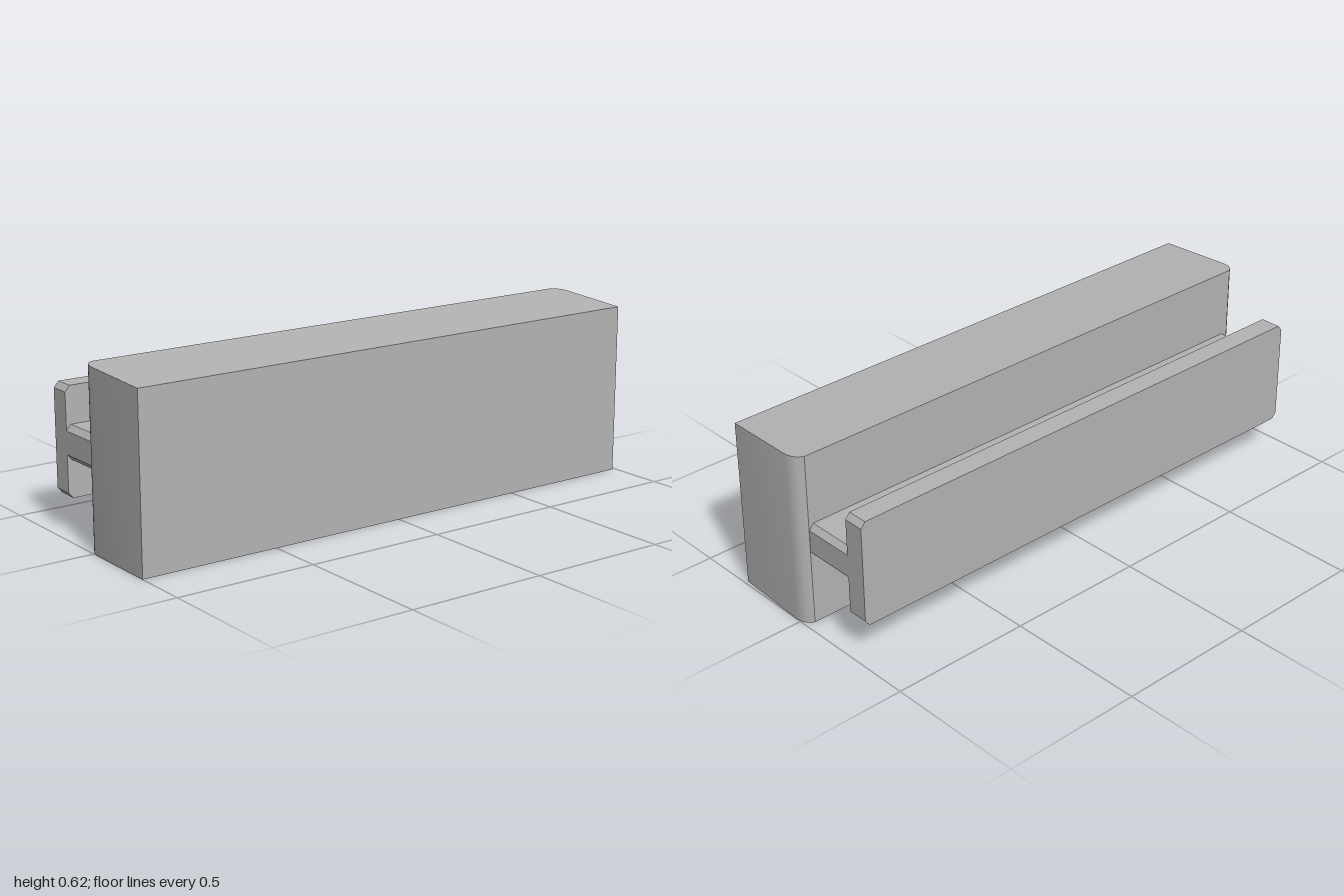
import * as THREE from 'three';
import { toCreasedNormals } from 'three/addons/utils/BufferGeometryUtils.js';

const grey = new THREE.MeshStandardMaterial({ color: 0xb4b4b4 });
grey.name = 'grey';

const shapeOf = (points) => new THREE.Shape(points.map(([a, b]) => new THREE.Vector2(a, b)));

// Long bar spanning x0..x1, with the top and bottom edges of both ends chamfered
function chamferedBar(name, x0, x1, y0, y1) {
  const zb = -0.967, zf = 0.96, cy = 0.02, cz = 0.017;
  // The shape's first axis is -z, so that turning it a quarter about y points the extrusion along +x
  const shape = shapeOf([
    [-zf + cz, y0], [-zb - cz, y0], [-zb, y0 + cy], [-zb, y1 - cy],
    [-zb - cz, y1], [-zf + cz, y1], [-zf, y1 - cy], [-zf, y0 + cy],
  ]);
  const geometry = new THREE.ExtrudeGeometry(shape, { depth: x1 - x0, bevelEnabled: false });
  geometry.rotateY(Math.PI / 2).translate(x0, 0, 0);
  const mesh = new THREE.Mesh(geometry, grey);
  mesh.name = name;
  return mesh;
}

// Tall block: a footprint with two rounded corners and a slightly sloping top
function mainBlock() {
  const corner = [[-0.035, 0.968], [-0.02, 0.987], [-0.003, 0.996], [0.02, 1]];
  const footprint = shapeOf([
    [0.3, -1],
    [0.3, 0.988],
    ...[...corner].reverse(),
    ...corner.map(([x, z]) => [x, -z]),
  ]);
  let geometry = new THREE.ExtrudeGeometry(footprint, { depth: 0.62, bevelEnabled: false });
  geometry.rotateX(-Math.PI / 2);
  const p = geometry.attributes.position;
  for (let i = 0; i < p.count; i++) {
    if (p.getY(i) > 0.3) p.setY(i, 0.62 - 0.015 * (p.getX(i) + 0.035) / 0.335);
  }
  geometry = toCreasedNormals(geometry, 0.5);
  const mesh = new THREE.Mesh(geometry, grey);
  mesh.name = 'mainBlock';
  return mesh;
}

export function createModel() {
  const model = new THREE.Group();
  model.name = 'railBlock';
  model.add(
    mainBlock(),
    chamferedBar('flange', -0.3, -0.225, 0.12, 0.5),
    chamferedBar('web', -0.225, -0.02, 0.25, 0.37),
  );
  return model;
}
